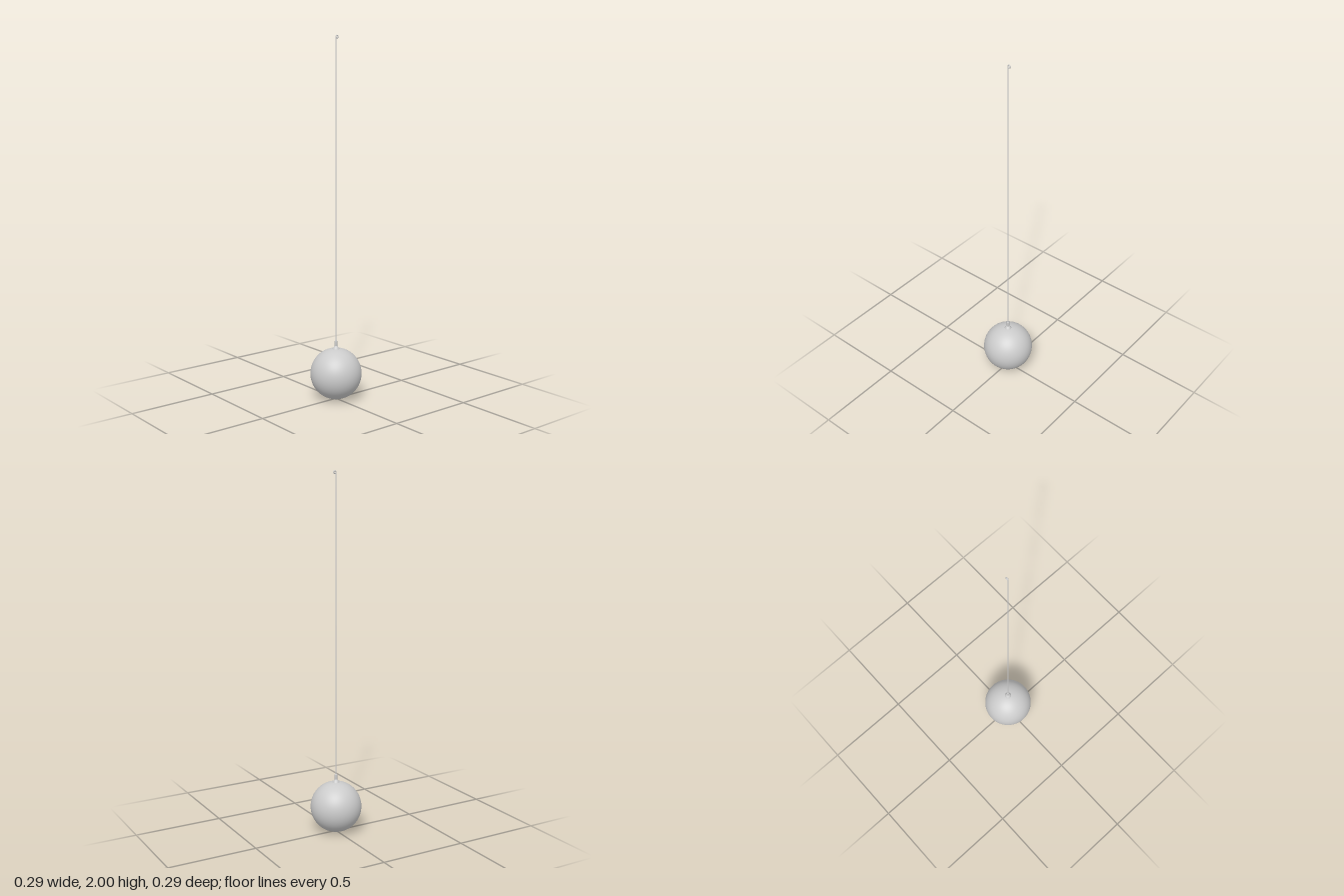
import * as THREE from 'three';

export function createModel() {
  const group = new THREE.Group();
  const material = new THREE.MeshStandardMaterial({ color: 0xcccccc, side: THREE.DoubleSide });
  const add = (name, geometry, y = 0) => {
    const mesh = new THREE.Mesh(geometry, material);
    mesh.name = name;
    mesh.position.y = y;
    group.add(mesh);
    return mesh;
  };
  const lathe = (points) =>
    new THREE.LatheGeometry(points.map(([r, y]) => new THREE.Vector2(r, y)), 32);

  // Heavy round bob, with a small stud underneath
  const radius = 0.143;
  const centre = 0.146;
  add('bob', new THREE.SphereGeometry(radius, 64, 48), centre);
  add('bottomStud', new THREE.CylinderGeometry(0.008, 0.006, 0.006, 24), 0.003);

  // Flared collar on top of the bob
  add('collar', lathe([
    [0.021, 0.284], [0.019, 0.29], [0.014, 0.296], [0.01, 0.301], [0.007, 0.304], [0, 0.304],
  ]));

  // Sleeve that grips the cord
  add('sleeve', lathe([
    [0.0065, 0.3], [0.0075, 0.306], [0.0075, 0.33], [0.006, 0.335], [0.003, 0.336],
  ]));

  // Long straight cord
  const cordRadius = 0.003;
  const loopRadius = 0.0068;
  const loopY = 2 - loopRadius - cordRadius;
  add('cord', new THREE.CylinderGeometry(cordRadius, cordRadius, loopY - 0.32, 16), (loopY + 0.32) / 2);

  // Hook curling over towards +x, nearly closing on the cord
  const points = [];
  for (let i = 0; i <= 16; i++) {
    const a = Math.PI - (i / 16) * Math.PI * 1.7;
    points.push(new THREE.Vector3(loopRadius + loopRadius * Math.cos(a), loopY + loopRadius * Math.sin(a), 0));
  }
  add('hook', new THREE.TubeGeometry(new THREE.CatmullRomCurve3(points), 48, cordRadius, 12));
  const tip = add('hookTip', new THREE.SphereGeometry(cordRadius, 12, 8));
  tip.position.copy(points[points.length - 1]);

  return group;
}
